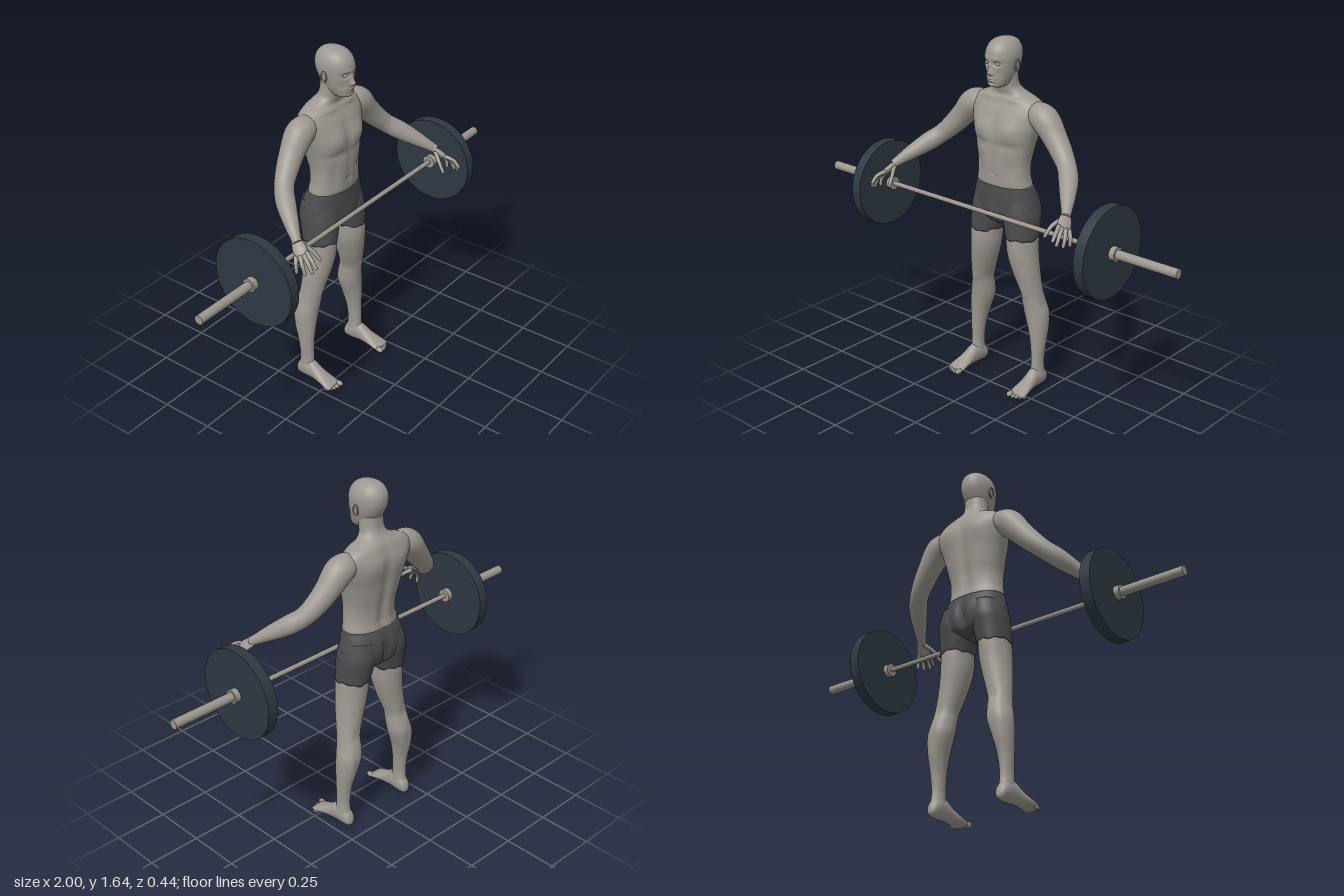
import * as THREE from 'three';

const material = (name, color, side = THREE.FrontSide) => {
  const m = new THREE.MeshStandardMaterial({ color, side });
  m.name = name;
  return m;
};

// Closed skin over a grid of loops, capped at both ends and turned outward
function skinLoops(loops) {
  const n = loops[0].length, pos = [], idx = [];
  loops.forEach(l => l.forEach(p => pos.push(p.x, p.y, p.z)));
  for (let j = 0; j < loops.length - 1; j++)
    for (let i = 0; i < n; i++) {
      const a = j * n + i, b = j * n + (i + 1) % n;
      idx.push(a, b, a + n, b, b + n, a + n);
    }
  [0, loops.length - 1].forEach((j, end) => {
    const c = new THREE.Vector3();
    loops[j].forEach(p => c.addScaledVector(p, 1 / n));
    const k = pos.length / 3;
    pos.push(c.x, c.y, c.z);
    for (let i = 0; i < n; i++) {
      const a = j * n + i, b = j * n + (i + 1) % n;
      if (end) idx.push(a, b, k); else idx.push(b, a, k);
    }
  });
  const v = k => new THREE.Vector3().fromArray(pos, k * 3);
  let volume = 0;
  for (let i = 0; i < idx.length; i += 3) volume += v(idx[i]).dot(v(idx[i + 1]).cross(v(idx[i + 2])));
  if (volume < 0) idx.reverse();
  const g = new THREE.BufferGeometry();
  g.setAttribute('position', new THREE.Float32BufferAttribute(pos, 3));
  g.setIndex(idx);
  g.computeVertexNormals();
  return g;
}

// Smooth interpolation through rows of numbers
function rowAt(rows, u) {
  const f = u * (rows.length - 1), i = Math.min(Math.floor(f), rows.length - 2), t = f - i;
  const at = k => rows[Math.max(0, Math.min(rows.length - 1, k))];
  return rows[0].map((_, c) => {
    const a = at(i - 1)[c], b = at(i)[c], d = at(i + 1)[c], e = at(i + 2)[c];
    return b + 0.5 * t * (d - a + t * (2 * a - 5 * b + 4 * d - e + t * (3 * (b - d) + e - a)));
  });
}

// Rings are [position along axis, centre x, half width, low, high]
function loft(rings, { axis = 'y', side = 1, power = 2, segs = 40, steps = 5, rule } = {}) {
  const loops = [], count = (rings.length - 1) * steps;
  for (let j = 0; j <= count; j++) {
    const [t, cx, hw, lo, hi] = rowAt(rings, j / count), loop = [];
    for (let i = 0; i < segs; i++) {
      const a = i / segs * Math.PI * 2, c = Math.cos(a), s = Math.sin(a);
      const x = cx + hw * Math.sign(c) * Math.abs(c) ** (2 / power);
      const d = (lo + hi) / 2 + (hi - lo) / 2 * Math.sign(s) * Math.abs(s) ** (2 / power);
      const p = axis === 'y' ? new THREE.Vector3(x, t, d) : new THREE.Vector3(x, d, t);
      if (rule) rule(p, (lo + hi) / 2, a);
      p.x *= side;
      loop.push(p);
    }
    loops.push(loop);
  }
  return skinLoops(loops);
}

// Muscles and hollows: [|x|, y, spread x, spread y, depth, 1 front or -1 back]
const bumps = list => (p, mid) => {
  const z = p.z - mid;
  for (const [x, y, sx, sy, d, face] of list) {
    const w = THREE.MathUtils.clamp(z * face / 0.04, 0, 1);
    p.z += w * d * Math.exp(-(((Math.abs(p.x) - x) / sx) ** 2) - ((p.y - y) / sy) ** 2);
  }
};

// Tapered round limb through [x, y, z, radius]
function limb(points, side, { segs = 24, steps = 6, flat = 1, wide = [1, 0, 0] } = {}) {
  const loops = [], count = (points.length - 1) * steps;
  for (let j = 0; j <= count; j++) {
    const u = j / count, [x, y, z, r] = rowAt(points, u);
    const a = rowAt(points, Math.max(0, u - 0.01)), b = rowAt(points, Math.min(1, u + 0.01));
    const t = new THREE.Vector3(b[0] - a[0], b[1] - a[1], b[2] - a[2]).normalize();
    const w = new THREE.Vector3(...wide).addScaledVector(t, -t.dot(new THREE.Vector3(...wide))).normalize();
    const v = t.clone().cross(w), loop = [];
    for (let i = 0; i < segs; i++) {
      const g = i / segs * Math.PI * 2;
      const p = new THREE.Vector3(x, y, z).addScaledVector(w, r * Math.cos(g)).addScaledVector(v, r * flat * Math.sin(g));
      p.x *= side;
      loop.push(p);
    }
    loops.push(loop);
  }
  return skinLoops(loops);
}

export function createModel() {
  const skin = material('skin grey', 0x9d9891), cloth = material('shorts grey', 0x4c4b4e);
  const iron = material('plate blue grey', 0x2e3942), steel = material('bar grey', 0x9b968e);
  const model = new THREE.Group(), figure = new THREE.Group(), barbell = new THREE.Group();
  model.name = 'lifterWithBarbell'; figure.name = 'figure'; barbell.name = 'barbell';
  model.add(figure, barbell);
  const add = (parent, name, geo, mat) => {
    const m = new THREE.Mesh(geo, mat);
    m.name = name;
    parent.add(m);
    return m;
  };
  const ball = (name, x, y, z, rx, ry, rz) => {
    const g = new THREE.SphereGeometry(1, 20, 14).scale(rx, ry, rz).translate(x, y, z);
    return add(figure, name, g, skin);
  };

  // Torso and neck
  add(figure, 'torso', loft([
    [0.93, 0, 0.135, -0.03, -0.18], [0.975, 0, 0.14, -0.021, -0.186], [1.02, 0, 0.133, -0.018, -0.18],
    [1.08, 0, 0.132, -0.014, -0.185], [1.14, 0, 0.143, -0.012, -0.198], [1.2, 0, 0.158, -0.012, -0.208],
    [1.26, 0, 0.177, -0.024, -0.216], [1.31, 0, 0.19, -0.04, -0.217], [1.345, 0, 0.182, -0.058, -0.207],
    [1.37, 0, 0.145, -0.07, -0.198], [1.387, 0, 0.1, -0.075, -0.188], [1.41, 0, 0.064, -0.068, -0.17],
    [1.44, 0, 0.055, -0.06, -0.158], [1.49, 0, 0.053, -0.05, -0.155]], {
    power: 2.25, segs: 64, steps: 6, rule: bumps([
      [0.075, 1.235, 0.055, 0.045, 0.014, 1], [0, 1.25, 0.012, 0.08, -0.007, 1], [0, 1.09, 0.01, 0.08, -0.005, 1],
      [0.07, 1.165, 0.06, 0.018, -0.006, 1], [0.085, 1.06, 0.02, 0.07, -0.006, 1], [0, 1.03, 0.008, 0.008, -0.007, 1],
      [0.07, 1.365, 0.05, 0.01, 0.006, 1], [0, 1.17, 0.02, 0.17, 0.016, -1], [0.085, 1.28, 0.045, 0.05, -0.007, -1],
      [0.045, 1.06, 0.02, 0.07, -0.004, -1]]) }), skin);

  // Shorts seat with cleft
  add(figure, 'shortsSeat', loft([
    [0.785, 0, 0.03, -0.06, -0.15], [0.805, 0, 0.09, -0.032, -0.192], [0.835, 0, 0.15, -0.02, -0.207],
    [0.88, 0, 0.168, -0.017, -0.215], [0.93, 0, 0.156, -0.016, -0.208], [0.974, 0, 0.144, -0.018, -0.189]], {
    power: 2.3, segs: 64, rule: bumps([[0, 0.87, 0.014, 0.06, 0.024, -1], [0, 0.85, 0.035, 0.03, 0.008, 1]]) }), cloth);

  // Head with brow, eye hollows, nose, lips and chin
  add(figure, 'head', loft([
    [1.422, 0, 0.022, -0.03, -0.07], [1.43, 0, 0.037, -0.008, -0.1], [1.448, 0, 0.048, -0.003, -0.125],
    [1.475, 0, 0.058, -0.001, -0.147], [1.505, 0, 0.066, 0.0, -0.166], [1.535, 0, 0.071, 0.001, -0.179],
    [1.565, 0, 0.072, 0.0, -0.183], [1.592, 0, 0.066, -0.008, -0.179], [1.615, 0, 0.053, -0.026, -0.164],
    [1.629, 0, 0.035, -0.05, -0.142], [1.637, 0, 0.008, -0.085, -0.105]], {
    power: 2.1, segs: 96, steps: 8, rule: bumps([
      [0.029, 1.532, 0.015, 0.01, -0.012, 1], [0.024, 1.55, 0.02, 0.008, 0.003, 1], [0, 1.493, 0.01, 0.012, 0.017, 1],
      [0, 1.515, 0.007, 0.02, 0.009, 1], [0.011, 1.489, 0.006, 0.006, 0.006, 1], [0, 1.465, 0.018, 0.004, 0.006, 1],
      [0, 1.455, 0.015, 0.004, 0.006, 1], [0, 1.46, 0.02, 0.002, -0.004, 1], [0, 1.446, 0.02, 0.005, -0.004, 1],
      [0.04, 1.485, 0.012, 0.02, -0.004, 1]]) }), skin);

  for (const s of [1, -1]) {
    const tag = s > 0 ? 'left' : 'right';
    ball(tag + 'Eye', s * 0.029, 1.531, -0.017, 0.012, 0.008, 0.009);

    // Ear: lobe and raised rim
    ball(tag + 'Ear', s * 0.072, 1.518, -0.092, 0.005, 0.025, 0.014);
    const rim = new THREE.TorusGeometry(0.014, 0.003, 8, 24).rotateY(Math.PI / 2).scale(1, 1.6, 0.9).translate(s * 0.077, 1.52, -0.092);
    add(figure, tag + 'EarRim', rim, skin);

    // Arm from shoulder to wrist
    add(figure, tag + 'Arm', limb([
      [0.135, 1.31, -0.13, 0.05], [0.175, 1.307, -0.127, 0.06], [0.213, 1.288, -0.125, 0.063], [0.262, 1.232, -0.12, 0.055],
      [0.312, 1.177, -0.107, 0.049], [0.362, 1.127, -0.083, 0.043], [0.407, 1.087, -0.038, 0.043],
      [0.453, 1.043, 0.025, 0.034], [0.493, 1.002, 0.083, 0.022], [0.503, 0.99, 0.1, 0.021]], s, { segs: 36 }), skin);

    // Palm, fingers and thumb
    add(figure, tag + 'Palm', limb([
      [0.49, 1.003, 0.08, 0.018], [0.503, 0.986, 0.1, 0.026], [0.514, 0.968, 0.122, 0.031], [0.522, 0.955, 0.139, 0.027],
      [0.525, 0.951, 0.145, 0.014]], s, { flat: 0.48, wide: [0.027, -0.015, -0.04] }), skin);
    const fingers = {
      IndexFinger: [[0.507, 0.966, 0.148], [0.522, 0.952, 0.187], [0.527, 0.923, 0.215]],
      MiddleFinger: [[0.52, 0.96, 0.147], [0.536, 0.938, 0.182], [0.538, 0.904, 0.204]],
      RingFinger: [[0.529, 0.954, 0.134], [0.548, 0.927, 0.16], [0.551, 0.892, 0.175]],
      LittleFinger: [[0.533, 0.949, 0.116], [0.552, 0.92, 0.13], [0.555, 0.887, 0.135]],
      Thumb: [[0.493, 0.984, 0.105], [0.467, 0.955, 0.145], [0.455, 0.915, 0.177]]
    };
    for (const [name, [a, b, c]] of Object.entries(fingers)) {
      const tip = c.map((v, i) => v + (c[i] - b[i]) * 0.12);
      add(figure, tag + name, limb([[...a, 0.011], [...b, 0.009], [...c, 0.007], [...tip, 0.002]], s, { segs: 12 }), skin);
    }

    // Leg with kneecap and calf
    add(figure, tag + 'Leg', loft([
      [0.8, 0.1, 0.07, -0.035, -0.18], [0.73, 0.105, 0.07, -0.022, -0.184], [0.65, 0.111, 0.069, -0.025, -0.178],
      [0.55, 0.13, 0.06, -0.045, -0.173], [0.47, 0.148, 0.051, -0.067, -0.177], [0.42, 0.154, 0.053, -0.073, -0.189],
      [0.36, 0.164, 0.057, -0.081, -0.199], [0.28, 0.177, 0.044, -0.086, -0.188], [0.2, 0.183, 0.033, -0.09, -0.168],
      [0.12, 0.184, 0.027, -0.09, -0.16], [0.07, 0.184, 0.029, -0.086, -0.165], [0.03, 0.184, 0.026, -0.085, -0.168]], {
      side: s, rule: bumps([[0.148, 0.475, 0.025, 0.03, 0.006, 1], [0.15, 0.47, 0.02, 0.04, 0.006, -1],
        [0.165, 0.34, 0.012, 0.06, 0.005, -1]]) }), skin);

    // Shorts leg with an uneven hem
    add(figure, tag + 'ShortsLeg', loft([
      [0.93, 0.085, 0.068, -0.035, -0.2], [0.86, 0.089, 0.084, -0.022, -0.21], [0.8, 0.096, 0.081, -0.019, -0.199],
      [0.735, 0.105, 0.0725, -0.0195, -0.1865]], {
      side: s, steps: 8, rule: (p, mid, a) => {
        if (p.y < 0.76) p.y += 0.004 * Math.sin(4 * a) + 0.003 * Math.sin(9 * a);
      } }), cloth);

    // Foot and toes
    add(figure, tag + 'Foot', loft([
      [-0.18, 0.182, 0.01, 0.016, 0.04], [-0.168, 0.183, 0.025, 0.004, 0.07], [-0.135, 0.184, 0.031, 0, 0.1],
      [-0.09, 0.186, 0.031, 0.002, 0.098], [-0.05, 0.188, 0.034, 0.003, 0.07], [-0.01, 0.19, 0.04, 0.002, 0.048],
      [0.02, 0.191, 0.043, 0, 0.033], [0.04, 0.19, 0.04, 0.003, 0.022]], { axis: 'z', side: s, segs: 32 }), skin);
    [0.16, 0.182, 0.199, 0.214, 0.227].forEach((x, i) => {
      const r = i ? 0.0088 - i * 0.0004 : 0.013;
      ball(tag + 'Toe' + (i + 1), s * x, r, 0.043 - i * i * 0.0015, r, r, 0.021 - i * 0.001);
    });
  }

  // Barbell: shaft, then plate, collars and sleeve on each end
  const rod = (name, x, length, radius, mat, segs = 32) =>
    add(barbell, name, new THREE.CylinderGeometry(radius, radius, length, segs).rotateZ(Math.PI / 2).translate(x, 0, 0), mat);
  barbell.position.y = 0.845;
  rod('shaft', 0, 1.3, 0.011, steel);
  for (const s of [1, -1]) {
    rod('innerCollar', s * 0.613, 0.026, 0.031, steel);
    rod('plate', s * 0.65, 0.05, 0.204, iron, 72);
    rod('outerCollar', s * 0.6875, 0.027, 0.031, steel);
    rod('sleeve', s * 0.84, 0.32, 0.021, steel);
  }
  return model;
}
